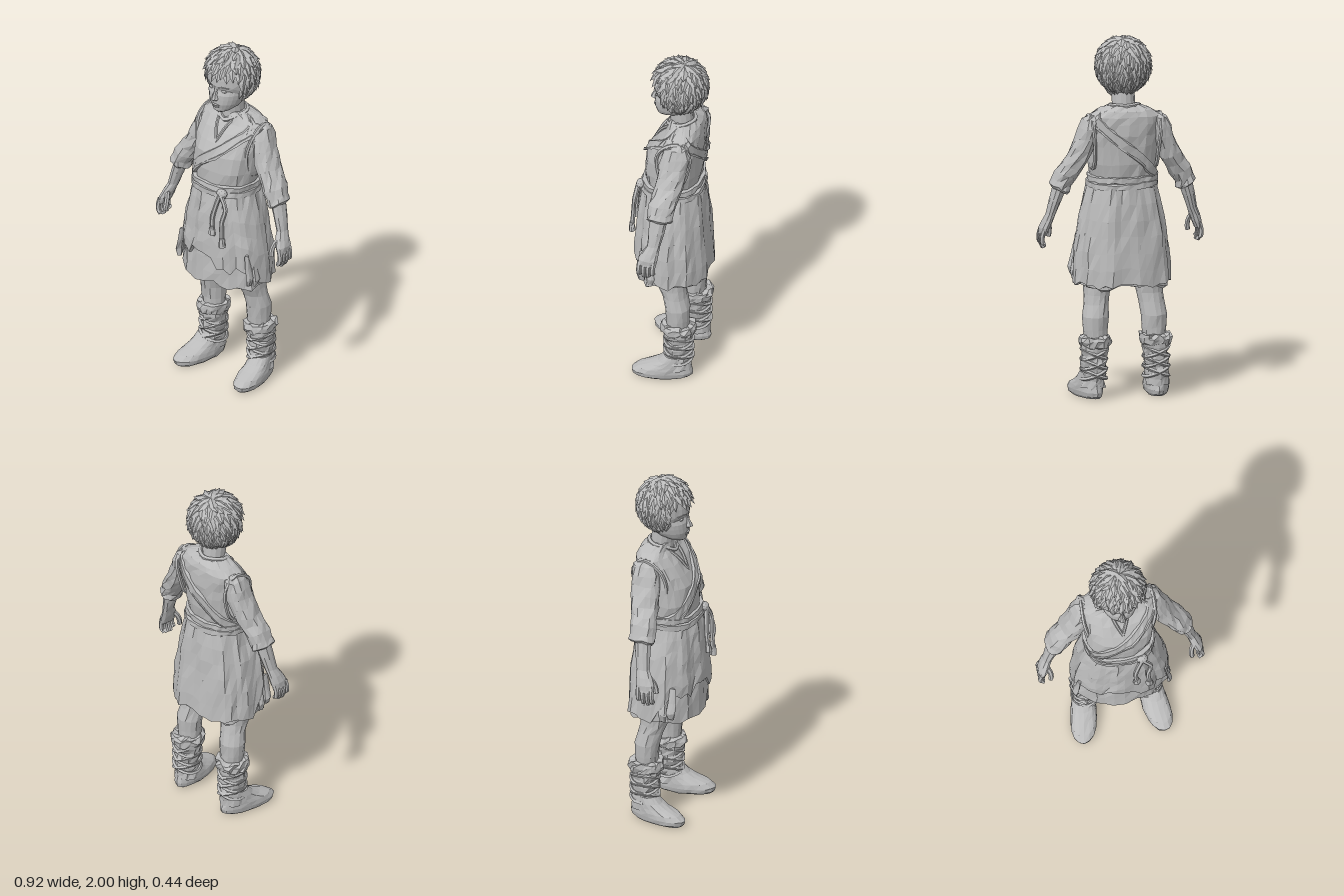
import * as THREE from 'three';

// Seeded noise for the rough, hand-carved facets
let seed = 7;
const rnd = () => {
  seed = (seed * 16807) % 2147483647;
  return seed / 2147483647;
};
const jitter = (j) => (rnd() - 0.5) * 2 * j;

export function createModel() {
  seed = 7;
  const model = new THREE.Group();
  const clay = new THREE.MeshStandardMaterial({ color: 0xbbbbbb, side: THREE.DoubleSide });
  clay.name = 'grey clay';

  // Faceted mesh from any geometry
  const add = (name, geo, parent = model) => {
    const g = geo.index ? geo.toNonIndexed() : geo;
    g.computeVertexNormals();
    const m = new THREE.Mesh(g, clay);
    m.name = name;
    parent.add(m);
    return m;
  };

  // Closed-around surface: f(row, angle) -> [x, y, z], angle 0 = front, rows from bottom to top
  const grid = (f, rows, cols, j = 0, caps = true) => {
    const pos = [], idx = [];
    for (let i = 0; i < rows; i++)
      for (let k = 0; k < cols; k++)
        pos.push(...f(i, (k / cols) * Math.PI * 2).map((v) => v + jitter(j)));
    for (let i = 0; i < rows - 1; i++)
      for (let k = 0; k < cols; k++) {
        const a = i * cols + k, b = i * cols + ((k + 1) % cols);
        idx.push(a, b, b + cols, a, b + cols, a + cols);
      }
    if (caps)
      for (const row of [0, rows - 1]) {
        const c = [0, 0, 0], id = pos.length / 3;
        for (let k = 0; k < cols; k++) for (let d = 0; d < 3; d++) c[d] += pos[(row * cols + k) * 3 + d] / cols;
        pos.push(...c);
        for (let k = 0; k < cols; k++) {
          const a = row * cols + k, b = row * cols + ((k + 1) % cols);
          if (row) idx.push(a, b, id); else idx.push(b, a, id);
        }
      }
    const g = new THREE.BufferGeometry();
    g.setAttribute('position', new THREE.Float32BufferAttribute(pos, 3));
    g.setIndex(idx);
    return g;
  };

  // Point on a section [y, cx, cz, rx, rz, tilt]
  const bend = (v, p) => Math.sign(v) * Math.abs(v) ** p;
  const section = ([y, cx, cz, rx, rz, tilt = 0], a, off = 0, p = 1) => [
    cx + (rx + off) * bend(Math.sin(a), p), y + tilt * Math.sin(a), cz + (rz + off) * bend(Math.cos(a), p)];
  const loft = (rings, cols, j = 0, p = 1) => grid((i, a) => section(rings[i], a, 0, p), rings.length, cols, j);
  // Point on the surface of a loft at any height
  const surf = (rings, a, y, off, p) => {
    let i = 0;
    while (i < rings.length - 2 && rings[i + 1][0] < y) i++;
    const A = rings[i], B = rings[i + 1];
    const t = THREE.MathUtils.clamp((y - A[0]) / (B[0] - A[0]), 0, 1);
    const q = section(A.map((v, n) => v + (B[n] - v) * t), a, off, p);
    q[1] = y;
    return q;
  };
  const tube = (pts, r, closed = false, n = 16, sides = 6) =>
    new THREE.TubeGeometry(new THREE.CatmullRomCurve3(pts.map((q) => new THREE.Vector3(...q)), closed), n, r, sides, closed);
  const blob = (x, y, z, sx, sy, sz, d = 1) =>
    new THREE.IcosahedronGeometry(1, d).scale(sx, sy, sz).translate(x, y, z);

  // Vest
  const P = 0.85;
  const torso = [
    [1.14, 0, 0, 0.172, 0.152], [1.22, -0.005, 0.002, 0.176, 0.148], [1.3, -0.003, -0.003, 0.19, 0.157],
    [1.4, 0, -0.012, 0.194, 0.155], [1.46, 0, -0.027, 0.195, 0.143], [1.52, 0, -0.047, 0.2, 0.12],
    [1.565, 0, -0.064, 0.2, 0.098], [1.595, 0, -0.068, 0.15, 0.085], [1.62, 0, -0.058, 0.085, 0.066]];
  add('vest', loft(torso, 26, 0.005, P));
  // Raised band lying on the vest, centred on height y(a)
  const band = (y, half, inner, outer, j) => grid((i, a) =>
    surf(torso, a, y(a) + (i === 1 || i === 2 ? 0.8 : 1) * (i < 2 ? -half : half), i === 0 || i === 3 ? inner : outer, P), 4, 36, j, false);
  add('shoulderStrap', band((a) => 1.395 + 0.19 * Math.sin(a), 0.034, -0.01, 0.012, 0.003));
  add('strapEdge', band((a) => 1.363 + 0.19 * Math.sin(a), 0.009, -0.01, 0.017, 0.003));
  add('beltUpper', band(() => 1.213, 0.018, -0.01, 0.018, 0.004));
  add('beltLower', band((a) => 1.18 + 0.006 * Math.sin(2 * a), 0.018, -0.01, 0.023, 0.004));
  add('collar', tube([[0, 1.57, 0.03], [0.065, 1.603, -0.01], [0.08, 1.617, -0.065], [0, 1.618, -0.118],
    [-0.08, 1.617, -0.065], [-0.065, 1.603, -0.01]], 0.014, true, 24, 5));
  for (const s of [1, -1])
    add('neckSlit', tube([[s * 0.055, 1.595, 0], [s * 0.03, 1.54, 0.06], [0.004, 1.46, 0.105]], 0.009));

  // Skirt with folds, hollow underneath
  const skirt = [
    [0.62, 0, -0.004, 0.262, 0.2], [0.72, 0, -0.004, 0.257, 0.195], [0.85, 0, 0, 0.245, 0.188],
    [1.0, 0, 0, 0.22, 0.176], [1.1, 0, 0, 0.194, 0.166], [1.18, 0, 0, 0.174, 0.153]];
  const folds = (a, y) => 0.006 * Math.sin(11 * a + 3 * y) + 0.005 * Math.sin(5 * a + 1);
  const hem = (a) => 0.01 * Math.sin(4 * a + 1) + 0.008 * Math.sin(9 * a);
  const profile = [[0.9, -0.03], [0.74, -0.025], [0.622, -0.014], [0.627, 0], [0.7, 0], [0.78, 0], [0.86, 0], [0.94, 0],
    [1.02, 0], [1.1, 0], [1.15, 0.004], [1.18, 0]];
  add('skirt', grid((i, a) => {
    const [y, off] = profile[i];
    const q = surf(skirt, a, y, off + folds(a, y), 0.9);
    if (y < 0.65) q[1] += hem(a);
    return q;
  }, profile.length, 32, 0.006));
  // Ragged outer layer, short at the front and long at the back
  const ragged = (a) => {
    const front = Math.max(0, Math.cos(a)) ** 0.6;
    return 0.635 + 0.15 * front - 0.05 * Math.sin(a) * front + (0.01 + 0.02 * front) * (Math.sin(6 * a + 2) + 0.7 * Math.sin(17 * a));
  };
  add('raggedOverskirt', grid((i, a) => {
    const y = THREE.MathUtils.lerp(ragged(a), 1.17, Math.max(0, i - 1) / 6);
    return surf(skirt, a, y, (i ? 0.012 : -0.004) + folds(a, y), 0.9);
  }, 8, 40, 0.005, false));

  // Belt knot and hanging cords
  const knot = new THREE.Group();
  knot.name = 'beltKnot';
  model.add(knot);
  add('knot', blob(0.1, 1.197, 0.16, 0.033, 0.028, 0.026), knot);
  for (const [x, end] of [[0.065, 0.965], [0.135, 0.915]]) {
    add('cord', tube([[0.1, 1.2, 0.173], [x + 0.01, 1.12, 0.183], [x - 0.006, 1.04, 0.193], [x, end, 0.2]], 0.013), knot);
    add('cordTassel', loft([[end - 0.02, x, 0.2, 0.023, 0.017], [end + 0.015, x, 0.2, 0.019, 0.015],
      [end + 0.035, x, 0.2, 0.012, 0.012]], 7, 0.003), knot);
  }

  // Arms and legs, mirrored
  for (const s of [1, -1]) {
    const side = s > 0 ? 'left' : 'right';
    const arm = new THREE.Group(), leg = new THREE.Group();
    arm.name = side + 'Arm';
    leg.name = side + 'Leg';
    model.add(arm, leg);
    const mirror = (rings) => rings.map(([y, cx, cz, rx, rz, t = 0]) => [y, cx * s, cz, rx, rz, t * s]);
    const mp = (pts) => pts.map(([x, y, z]) => [x * s, y, z]);

    // Torn strips at the hip
    for (const [y, z] of [[0.64, 0.06], [0.66, 0.11]])
      add('hipStrip', loft(mirror([[y, 0.255, z, 0.007, 0.016], [y + 0.04, 0.262, z, 0.011, 0.026],
        [y + 0.1, 0.25, z, 0.01, 0.024], [y + 0.18, 0.235, z, 0.006, 0.015]]), 7, 0.004));

    add('sleeve', loft(mirror([
      [1.15, 0.357, -0.02, 0.04, 0.06, 0.02], [1.165, 0.357, -0.02, 0.054, 0.074, 0.025], [1.195, 0.345, -0.022, 0.05, 0.07, 0.025],
      [1.24, 0.322, -0.027, 0.056, 0.075, 0.025], [1.28, 0.293, -0.036, 0.054, 0.073, 0.025], [1.33, 0.262, -0.045, 0.058, 0.079, 0.02],
      [1.38, 0.24, -0.052, 0.055, 0.078, 0.02], [1.44, 0.217, -0.06, 0.057, 0.08, 0.01], [1.5, 0.2, -0.067, 0.057, 0.078],
      [1.55, 0.187, -0.072, 0.047, 0.063], [1.575, 0.172, -0.072, 0.03, 0.035]]), 14, 0.006), arm);
    add('armholeTrim', tube(mp([[0.198, 1.572, -0.075], [0.198, 1.52, 0.02], [0.178, 1.4, 0.05], [0.173, 1.28, 0.01],
      [0.176, 1.28, -0.08], [0.18, 1.4, -0.13], [0.193, 1.52, -0.138]]), 0.011, true, 26, 5), arm);
    add('forearm', loft(mirror([
      [0.9, 0.437, 0.03, 0.019, 0.05], [0.94, 0.428, 0.026, 0.028, 0.054], [0.98, 0.413, 0.014, 0.029, 0.046],
      [1.02, 0.398, 0, 0.027, 0.037], [1.1, 0.375, -0.01, 0.034, 0.045], [1.2, 0.345, -0.02, 0.041, 0.05]]), 10, 0.002), arm);
    for (let f = 0; f < 4; f++) {
      const z = -0.01 + f * 0.026, low = [0.85, 0.832, 0.828, 0.842][f];
      add('finger', tube(mp([[0.437, 0.93, z], [0.448, 0.885, z + 0.003], [0.441, 0.85, z + 0.004], [0.43, low, z + 0.004]]), 0.014, false, 5, 6), arm);
    }
    add('thumb', tube(mp([[0.41, 0.985, 0.035], [0.393, 0.945, 0.06], [0.388, 0.91, 0.073], [0.392, 0.88, 0.078]]), 0.014, false, 5, 6), arm);

    add('shin', loft(mirror([
      [0.3, 0.163, -0.07, 0.06, 0.062], [0.38, 0.166, -0.07, 0.066, 0.064], [0.45, 0.165, -0.067, 0.072, 0.07],
      [0.52, 0.156, -0.05, 0.07, 0.069], [0.57, 0.15, -0.034, 0.073, 0.075], [0.62, 0.145, -0.028, 0.079, 0.082],
      [0.8, 0.13, -0.005, 0.085, 0.09]]), 14, 0.003), leg);
    add('bootShaft', loft(mirror([
      [0.06, 0.18, -0.077, 0.066, 0.074], [0.1, 0.18, -0.077, 0.063, 0.071], [0.135, 0.178, -0.077, 0.069, 0.076],
      [0.165, 0.177, -0.077, 0.064, 0.071], [0.2, 0.175, -0.077, 0.072, 0.079], [0.235, 0.173, -0.076, 0.067, 0.074],
      [0.27, 0.172, -0.074, 0.075, 0.081], [0.33, 0.17, -0.072, 0.078, 0.085]]), 14, 0.006), leg);
    add('furCuff', loft(mirror([
      [0.285, 0.17, -0.072, 0.068, 0.075], [0.292, 0.17, -0.072, 0.086, 0.093], [0.32, 0.17, -0.072, 0.091, 0.099],
      [0.342, 0.17, -0.072, 0.084, 0.091], [0.345, 0.17, -0.072, 0.062, 0.066]]), 20, 0.009), leg);
    // Crossed laces, slanting one way and the other
    for (const dir of [1, -1])
      for (const y of [0.135, 0.19, 0.245]) {
        const pts = [];
        for (let i = 0; i < 14; i++) {
          const a = (i / 14) * Math.PI * 2;
          pts.push([0.175 * s + 0.07 * Math.sin(a), y + dir * 0.028 * Math.sin(a), -0.077 + 0.077 * Math.cos(a)]);
        }
        add('bootLace', tube(pts, 0.01, true, 22, 4), leg);
      }
    // Shoe, wider at the toe and turned slightly outward
    const shoe = [[0, 0.012, 0.058, 0.145], [0.012, 0.01, 0.069, 0.163], [0.035, 0.009, 0.074, 0.168], [0.06, -0.004, 0.072, 0.148],
      [0.085, -0.035, 0.067, 0.113], [0.11, -0.057, 0.064, 0.089], [0.145, -0.074, 0.06, 0.07]];
    add('shoe', grid((i, a) => {
      const [y, cz, rx, rz] = shoe[i], c = Math.cos(a);
      const z = cz + rz * c;
      return [s * (0.197 + 0.15 * z) + rx * (1 + 0.12 * c) * bend(Math.sin(a), 0.9), y, z];
    }, shoe.length, 18, 0.002), leg);
  }

  // Head
  const head = new THREE.Group();
  head.name = 'head';
  model.add(head);
  add('neck', loft([[1.56, 0, -0.05, 0.075, 0.07], [1.62, 0, -0.045, 0.063, 0.064], [1.72, 0, -0.03, 0.064, 0.068]], 14), head);
  const skull = [
    [1.643, 0, 0.05, 0.028, 0.032], [1.655, 0, 0.035, 0.052, 0.06], [1.675, 0, 0.015, 0.075, 0.083], [1.7, 0, 0, 0.091, 0.106],
    [1.73, 0, -0.012, 0.103, 0.118], [1.757, 0, -0.016, 0.109, 0.121], [1.785, 0, -0.02, 0.112, 0.12], [1.812, 0, -0.024, 0.114, 0.13],
    [1.85, 0, -0.028, 0.115, 0.133], [1.9, 0, -0.03, 0.11, 0.128], [1.96, 0, -0.03, 0.07, 0.08]];
  add('face', grid((i, a) => {
    const q = section(skull[i], a, 0, 0.95);
    if (i === 6 && q[2] > 0 && Math.abs(q[0]) > 0.02) q[2] -= 0.007;
    return q;
  }, skull.length, 26), head);
  add('nose', loft([[1.722, 0, 0.103, 0.014, 0.014], [1.732, 0, 0.107, 0.022, 0.026], [1.75, 0, 0.103, 0.015, 0.023],
    [1.778, 0, 0.094, 0.01, 0.017], [1.81, 0, 0.093, 0.011, 0.012]], 8), head);
  add('upperLip', blob(0, 1.696, 0.102, 0.028, 0.007, 0.011), head);
  add('lowerLip', blob(0, 1.684, 0.097, 0.023, 0.008, 0.012), head);
  add('chin', blob(0, 1.658, 0.076, 0.03, 0.017, 0.018), head);
  for (const s of [1, -1]) {
    add('eye', blob(s * 0.043, 1.783, 0.082, 0.019, 0.009, 0.011), head);
    add('brow', tube([[s * 0.02, 1.806, 0.1], [s * 0.045, 1.813, 0.094], [s * 0.075, 1.805, 0.074]], 0.004, false, 6, 5), head);
    add('ear', blob(s * 0.113, 1.757, -0.02, 0.014, 0.035, 0.022), head);
  }

  // Tousled hair: a cap covered with broad, flat, overlapping locks
  const hair = new THREE.Group();
  hair.name = 'hair';
  head.add(hair);
  add('hairCap', blob(0, 1.836, -0.038, 0.142, 0.15, 0.14, 2), hair);
  const centre = new THREE.Vector3(0, 1.836, -0.034), crown = new THREE.Vector3(0.03, 0.95, -0.2).normalize();
  const count = 300;
  for (let i = 0; i < count; i++) {
    const y = 1 - (2 * (i + 0.5)) / count, r = Math.sqrt(1 - y * y), a = i * 2.39996;
    const n = new THREE.Vector3(r * Math.sin(a), y, r * Math.cos(a));
    const lowest = n.z > 0.45 ? 0.4 : n.z > 0.1 ? -0.4 : -0.75;
    if (n.y < lowest) continue;
    const d = n.clone().sub(crown).projectOnPlane(n).normalize();
    if (n.y < 0.5) d.y -= 0.4;
    d.add(new THREE.Vector3(jitter(0.4), jitter(0.25), jitter(0.4))).projectOnPlane(n).normalize();
    d.addScaledVector(n, 0.1).normalize();
    const x = new THREE.Vector3().crossVectors(d, n).normalize();
    const z = new THREE.Vector3().crossVectors(x, d);
    const at = n.clone().multiply(new THREE.Vector3(0.142, 0.15, 0.146)).add(centre).addScaledVector(d, 0.012);
    const g = new THREE.OctahedronGeometry(1).scale(0.02 + rnd() * 0.012, 0.045 + rnd() * 0.02, 0.013);
    add('lock', g.applyMatrix4(new THREE.Matrix4().makeBasis(x, d, z).setPosition(at)), hair);
  }
  return model;
}
